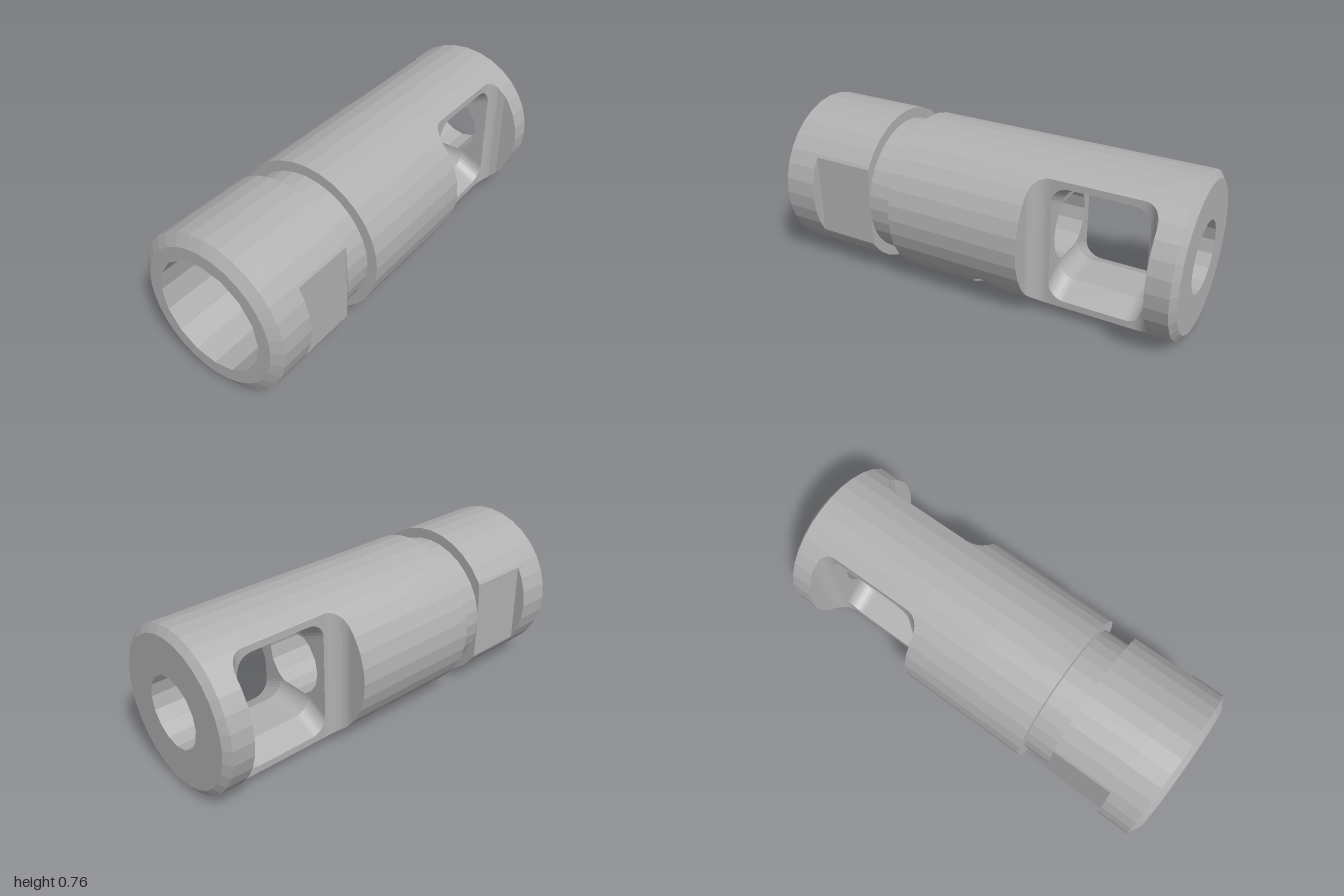
import * as THREE from 'three';

const AXIS_Y = 0.38, R = 0.38, BORE = 0.268, HOLE = 0.167, STEP = Math.PI / 16;
const clamp = THREE.MathUtils.clamp;
const range = (a, b) => Array.from({ length: b - a + 1 }, (_, i) => a + i);

// Point on a faceted circle: the bores have 16 sides, the outside 32
function polar(angle, r) {
  const seg = r < 0.3 ? STEP * 2 : STEP;
  const phase = (((angle % seg) + seg) % seg) - seg / 2;
  const d = (r * Math.cos(seg / 2)) / Math.cos(phase);
  return [d * Math.cos(angle), d * Math.sin(angle)];
}

const arc = (r, from, to, i0, i1) => range(i0, i1).map(i => polar(clamp(i * STEP, from, to), r));

// Upper half of a circle whose sides are cut flat at x = +-w
function cap(r, w) {
  const a = w < r ? Math.acos(w / r) : 0;
  return arc(r, a, Math.PI - a, 0, 16).map(([x, y]) => [clamp(x, -w, w), y]);
}

// Full cross-section at z
function ring(z, r, w = r) {
  const top = cap(r, w);
  return { z, pts: [...top, ...top.map(([x, y]) => [-x, -y])] };
}

// Skin over a row of closed cross-sections, with hard facets
function loft(rows) {
  const pos = [];
  const tri = (...v) => {
    const [a, b, c] = v.map(p => new THREE.Vector3(...p));
    if (b.clone().sub(a).cross(c.clone().sub(a)).length() < 1e-9) return;
    pos.push(...v.flat());
  };
  for (let k = 0; k < rows.length - 1; k++) {
    const p = rows[k], q = rows[k + 1], n = p.pts.length;
    for (let j = 0; j < n; j++) {
      const m = (j + 1) % n;
      const a = [...p.pts[j], p.z], b = [...p.pts[m], p.z];
      const c = [...q.pts[m], q.z], d = [...q.pts[j], q.z];
      tri(a, d, c);
      tri(a, c, b);
    }
  }
  const g = new THREE.BufferGeometry();
  g.setAttribute('position', new THREE.Float32BufferAttribute(pos, 3));
  g.computeVertexNormals();
  return g;
}

// Half width of the waist around the window, with filleted ends
const FILLET = 0.08;
function rounding(t) {
  const u = FILLET - clamp(t, 0, FILLET);
  return FILLET - Math.sqrt(FILLET * FILLET - u * u);
}
const waist = z => 0.215 + rounding(Math.min(-0.29 - z, z + 0.87));
const waistRing = z => ring(z, R, waist(z));

export function createModel() {
  const group = new THREE.Group();
  const metal = new THREE.MeshStandardMaterial({ color: 0xb0b0b0 });
  metal.name = 'grey metal';
  const add = (name, rows) => {
    const mesh = new THREE.Mesh(loft(rows), metal);
    mesh.name = name;
    mesh.position.y = AXIS_Y;
    group.add(mesh);
    return mesh;
  };

  // Front: stepped bore, chamfered mouth, wrench flats and groove
  add('frontBody', [
    ring(0.01, HOLE), ring(0.1, HOLE), ring(0.1, BORE), ring(1, BORE),
    ring(1, 0.33), ring(0.97, R), ring(0.81, R), ring(0.81, R, 0.325),
    ring(0.51, R, 0.325), ring(0.51, 0.33), ring(0.37, 0.33), ring(0.37, R),
    ring(0.01, R),
  ]);

  // Band with two oblique side ports that open into the passage
  const portAngle = THREE.MathUtils.degToRad(62), portHalf = THREE.MathUtils.degToRad(24);
  const band = (from, to, i0, i1) => range(0, 14).map(k => {
    const t = (k / 14) * Math.PI;
    const d = portHalf * Math.sin(t);
    return {
      z: -0.08 + 0.09 * Math.cos(t),
      pts: [...arc(R, from + d, to - d, i0, i1), ...arc(HOLE, from + d, to - d, i0, i1).reverse()],
    };
  });
  add('portBandUpper', band(-portAngle, Math.PI + portAngle, -6, 22));
  add('portBandLower', band(Math.PI + portAngle, 2 * Math.PI - portAngle, 21, 27));

  // Wall between the ports and the window
  const fillet = range(0, 8).map(i => FILLET * (1 - Math.cos((i / 8) * Math.PI / 2)));
  add('frontWall', [
    ring(-0.17, R), ring(-0.29, R),
    ...fillet.map(t => waistRing(-0.29 - t)), waistRing(-0.375),
    ring(-0.375, HOLE), ring(-0.17, HOLE),
  ]);

  // Bars above and below the window, with rounded window corners
  const z0 = -0.375, z1 = -0.825;
  const barZ = [...fillet.map(t => z0 - t), ...fillet.map(t => z1 + t).reverse()];
  const bar = barZ.map(z => {
    const w = waist(z), drop = rounding(Math.min(z0 - z, z - z1));
    const outer = 0.28 - drop, inner = 0.225 - drop;
    return { z, pts: [...cap(R, w), [-w, outer], [-0.1, inner], [0.1, inner], [w, outer]] };
  });
  add('windowBarTop', bar);
  add('windowBarBottom', bar).rotation.z = Math.PI;

  // Back collar with its chamfer and hole
  add('backCollar', [
    waistRing(z1), ...range(1, 5).map(i => waistRing(z1 - 0.009 * i)),
    ring(-0.87, R), ring(-0.975, R), ring(-1, 0.345),
    ring(-1, HOLE), ring(z1, HOLE), waistRing(z1),
  ]);

  return group;
}
